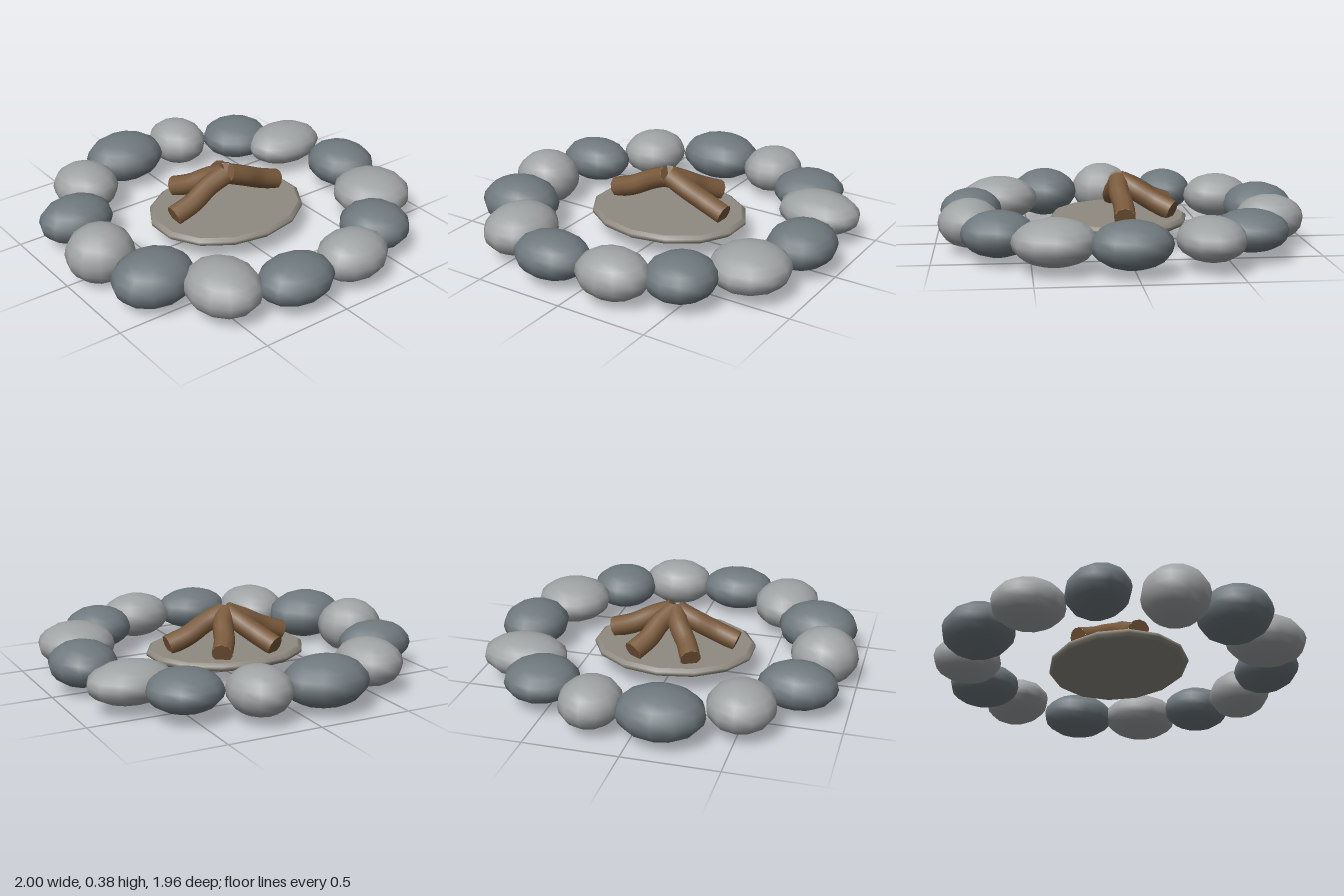
import * as THREE from 'three';

const paint = (color) => new THREE.MeshStandardMaterial({ color });

// Ring stones: centre x, centre z, half-sizes x, y, z
const STONES = [
  [-0.145, -0.79, 0.23, 0.13, 0.192],
  [0.217, -0.775, 0.163, 0.125, 0.185],
  [0.535, -0.61, 0.197, 0.108, 0.195],
  [0.717, -0.375, 0.23, 0.11, 0.175],
  [0.817, 0.025, 0.18, 0.12, 0.205],
  [0.72, 0.39, 0.21, 0.118, 0.213],
  [0.49, 0.66, 0.185, 0.117, 0.19],
  [0.195, 0.81, 0.2, 0.127, 0.165],
  [-0.175, 0.81, 0.212, 0.118, 0.168],
  [-0.503, 0.655, 0.187, 0.13, 0.218],
  [-0.727, 0.385, 0.22, 0.137, 0.19],
  [-0.817, 0.035, 0.182, 0.152, 0.175],
  [-0.74, -0.335, 0.207, 0.12, 0.162],
  [-0.51, -0.62, 0.177, 0.125, 0.192],
];

// A slightly bent log along +x, rising to the centre, with closed ends
function makeLog(material, length, name) {
  const log = new THREE.Group();
  log.name = name;
  const radius = 0.056;
  const curve = new THREE.CatmullRomCurve3([
    new THREE.Vector3(0.01, 0.33, 0),
    new THREE.Vector3(length * 0.33, 0.287, 0.008),
    new THREE.Vector3(length * 0.66, 0.23, -0.006),
    new THREE.Vector3(length, 0.188, 0),
  ]);
  log.add(new THREE.Mesh(new THREE.TubeGeometry(curve, 10, radius, 10), material));
  for (const t of [0, 1]) {
    const cap = new THREE.Mesh(new THREE.CircleGeometry(radius, 10), material);
    const outward = curve.getTangent(t).multiplyScalar(t ? 1 : -1);
    cap.position.copy(curve.getPoint(t));
    cap.quaternion.setFromUnitVectors(new THREE.Vector3(0, 0, 1), outward);
    log.add(cap);
  }
  log.children.forEach((m, i) => { m.name = i ? 'logEnd' : 'logBark'; });
  return log;
}

export function createModel() {
  const model = new THREE.Group();
  model.name = 'campfire';

  // Stones alternate dark and light around the ring
  const ring = new THREE.Group();
  ring.name = 'stoneRing';
  const stoneShape = new THREE.SphereGeometry(1, 12, 10);
  const stoneColors = [paint(0x6f797e), paint(0xa0a3a4)];
  STONES.forEach(([x, z, rx, ry, rz], i) => {
    const stone = new THREE.Mesh(stoneShape, stoneColors[i % 2]);
    stone.name = 'stone';
    stone.position.set(x, 0.153, z);
    stone.scale.set(rx, ry, rz);
    ring.add(stone);
  });
  model.add(ring);

  // Thin oval ash bed with a bevelled rim
  const profile = [[0, 0.108], [0.96, 0.108], [0.96, 0.108], [1, 0.122], [1, 0.138], [0.95, 0.152], [0.95, 0.152], [0, 0.155]];
  const bed = new THREE.Mesh(
    new THREE.LatheGeometry(profile.map(([r, y]) => new THREE.Vector2(r, y)), 14),
    paint(0x8f8a81)
  );
  bed.name = 'ashBed';
  bed.scale.set(0.443, 1, 0.37);
  bed.position.z = 0.01;
  model.add(bed);

  // Four logs leaning together: left, right and two to the back
  const bark = paint(0x7a5a3c);
  const logs = new THREE.Group();
  logs.name = 'logs';
  [[0, 0.345, 'leftLog'], [60, 0.315, 'backLeftLog'], [120, 0.315, 'backRightLog'], [180, 0.345, 'rightLog']]
    .forEach(([angle, length, name]) => {
      const log = makeLog(bark, length, name);
      log.rotation.y = THREE.MathUtils.degToRad(angle);
      logs.add(log);
    });
  logs.position.z = 0.01;
  model.add(logs);

  return model;
}
